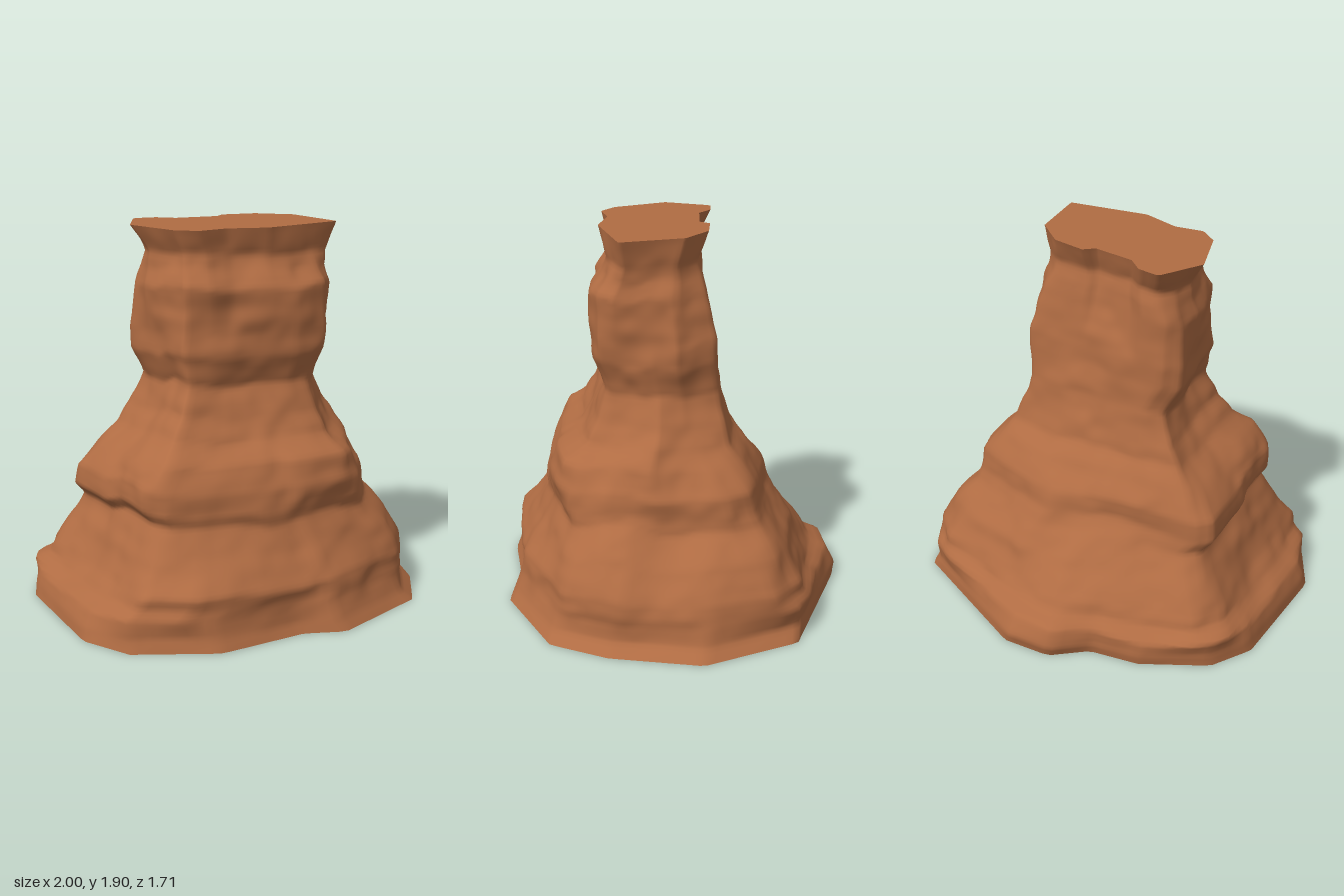
import * as THREE from 'three';

// Plan outlines [x, z] from the flared foot up to the summit
const outlines = [
  { y: 0.06, pts: [[-1, -.2], [-.9, -.42], [-.6, -.62], [-.35, -.68], [-.2, -.83], [.05, -.86], [.8, -.57],
    [1, -.1], [.9, .35], [.75, .63], [.25, .85], [.05, .79], [-.4, .84], [-.8, .68], [-.95, .45]] },
  { y: 0.24, pts: [[-.86, -.25], [-.8, -.4], [-.15, -.68], [.65, -.57], [.82, -.42], [.87, -.1], [.85, .3],
    [.7, .58], [.2, .79], [-.5, .8], [-.72, .68]] },
  { y: 0.6, pts: [[-.77, -.22], [-.7, -.29], [-.3, -.37], [.05, -.5], [.6, -.38], [.66, -.25],
    [.6, .37], [.48, .54], [-.1, .66], [-.58, .59], [-.65, .5]] },
  { y: 0.95, pts: [[-.49, -.18], [-.35, -.23], [.12, -.28], [.42, -.25], [.51, .1], [.32, .41], [-.2, .44], [-.44, .42]] },
  { y: 1.4, pts: [[-.48, -.12], [-.42, -.19], [.37, -.21], [.47, 0], [.36, .38], [.2, .43], [-.15, .37], [-.37, .35]] },
  { y: 1.9, pts: [[-.42, -.23], [-.3, -.22], [-.27, -.16], [0, -.14], [.04, -.19], [.22, -.17], [.38, -.05],
    [.46, .27], [.05, .36], [-.15, .31], [-.3, .34], [-.4, .27], [-.52, 0]] },
];

// Silhouette levels: [y, xMin, xMax, zMin, zMax]
const levels = [
  [0, -1, 1, -.85, .86], [.05, -.99, .94, -.86, .84], [.14, -.98, .91, -.82, .81], [.18, -.91, .9, -.74, .8],
  [.25, -.86, .87, -.69, .8], [.4, -.78, .79, -.61, .71], [.53, -.72, .67, -.52, .65], [.59, -.77, .66, -.49, .66],
  [.7, -.75, .66, -.46, .64], [.83, -.63, .6, -.36, .58], [.9, -.54, .55, -.29, .48], [1, -.46, .49, -.26, .42],
  [1.15, -.41, .43, -.22, .37], [1.29, -.48, .47, -.2, .42], [1.62, -.49, .46, -.18, .43],
  [1.7, -.46, .43, -.17, .37], [1.77, -.45, .43, -.15, .34], [1.905, -.52, .46, -.22, .37],
];

const SEGMENTS = 144, ROWS = 110, HEIGHT = 1.905;
const { lerp, clamp, smoothstep } = THREE.MathUtils;

// Smooth repeatable value noise
const hash = (x, y, z) => {
  const s = Math.sin(x * 127.1 + y * 311.7 + z * 74.7) * 43758.5453;
  return s - Math.floor(s);
};
function noise(x, y, z) {
  const c = [x, y, z].map(Math.floor);
  const [u, v, w] = [x - c[0], y - c[1], z - c[2]].map(t => t * t * (3 - 2 * t));
  let sum = 0;
  for (let i = 0; i < 8; i++) {
    const a = i & 1, b = (i >> 1) & 1, d = i >> 2;
    sum += hash(c[0] + a, c[1] + b, c[2] + d) * (a ? u : 1 - u) * (b ? v : 1 - v) * (d ? w : 1 - w);
  }
  return sum * 2 - 1;
}

// Outline fitted to a -1..1 square and sampled by angle about its centre
function sampleOutline(pts) {
  const box = new THREE.Box2().setFromPoints(pts.map(p => new THREE.Vector2(...p)));
  const mid = box.getCenter(new THREE.Vector2()), half = box.getSize(new THREE.Vector2()).multiplyScalar(.5);
  const unit = pts.map(([x, z]) => [(x - mid.x) / half.x, (z - mid.y) / half.y]);
  return Array.from({ length: SEGMENTS }, (_, i) => {
    const a = i / SEGMENTS * Math.PI * 2, dx = Math.cos(a), dz = Math.sin(a);
    let r = 0;
    unit.forEach((p, k) => {
      const q = unit[(k + 1) % unit.length], ex = q[0] - p[0], ez = q[1] - p[1];
      const det = dx * ez - dz * ex;
      if (Math.abs(det) < 1e-9) return;
      const t = (p[0] * ez - p[1] * ex) / det, s = (p[0] * dz - p[1] * dx) / det;
      if (t > 0 && s >= -1e-6 && s <= 1 + 1e-6) r = Math.max(r, t);
    });
    return [dx * r, dz * r];
  });
}

// Index and fraction of the span that holds y
function findSpan(list, y, key) {
  let k = 0;
  while (k < list.length - 2 && key(list[k + 1]) < y) k++;
  const a = key(list[k]), b = key(list[k + 1]);
  return [k, clamp((y - a) / (b - a), 0, 1)];
}

function surfacePoint(rings, i, y) {
  const ang = i / SEGMENTS * Math.PI * 2, ca = Math.cos(ang), sa = Math.sin(ang);
  const fade = Math.min(1, y / .2, (HEIGHT - y) / .15);
  // Bend the rock layers up and down around the body
  const yy = y + fade * .04 * noise(ca * 2.5 + 5, y * 2, sa * 2.5);
  const [o, f] = findSpan(outlines, yy, l => l.y);
  const [k, t] = findSpan(levels, yy, l => l[0]);
  const [x0, x1, z0, z1] = [1, 2, 3, 4].map(n => lerp(levels[k][n], levels[k + 1][n], t));
  const [ux, uz] = [0, 1].map(n => lerp(rings[o][i][n], rings[o + 1][i][n], f));
  const x = (x0 + x1) / 2 + ux * (x1 - x0) / 2, z = (z0 + z1) / 2 + uz * (z1 - z0) / 2;
  // Weathering: lumps and small pits, with faint strata
  let d = .014 * noise(x * 6, y * 6, z * 6) + .007 * noise(x * 13, y * 13, z * 13) + .007 * noise(x * 3 + 9, y * 15, z * 3);
  // Raised slab on the front, left of the middle
  const front = smoothstep(sa, .5, .8) * smoothstep(x, 0, .1);
  d += .025 * front * smoothstep(y, .5, .7) * (1 - smoothstep(y, .8, .85));
  const len = Math.hypot(x, z);
  return [x + fade * d * x / len, y, z + fade * d * z / len];
}

export function createModel() {
  const group = new THREE.Group();
  group.name = 'rockButte';
  const material = new THREE.MeshStandardMaterial({ color: 0xb06c43, side: THREE.DoubleSide });
  const rings = outlines.map(o => sampleOutline(o.pts));

  // Hollow rock wall, open underneath
  const positions = [], index = [];
  for (let j = 0; j <= ROWS; j++)
    for (let i = 0; i < SEGMENTS; i++) positions.push(...surfacePoint(rings, i, j / ROWS * HEIGHT));
  for (let j = 0; j < ROWS; j++)
    for (let i = 0; i < SEGMENTS; i++) {
      const a = j * SEGMENTS + i, b = j * SEGMENTS + (i + 1) % SEGMENTS;
      index.push(a, a + SEGMENTS, b, b, a + SEGMENTS, b + SEGMENTS);
    }
  const wallGeometry = new THREE.BufferGeometry();
  wallGeometry.setAttribute('position', new THREE.Float32BufferAttribute(positions, 3));
  wallGeometry.setIndex(index);
  wallGeometry.computeVertexNormals();
  const wall = new THREE.Mesh(wallGeometry, material);
  wall.name = 'rockWall';

  // Flat summit cut to the last ring
  const rim = Array.from({ length: SEGMENTS }, (_, i) => {
    const [x, , z] = surfacePoint(rings, i, HEIGHT);
    return new THREE.Vector2(x, -z);
  });
  const summit = new THREE.Mesh(new THREE.ShapeGeometry(new THREE.Shape(rim)).rotateX(-Math.PI / 2), material);
  summit.position.y = HEIGHT;
  summit.name = 'flatSummit';

  group.add(wall, summit);
  return group;
}
